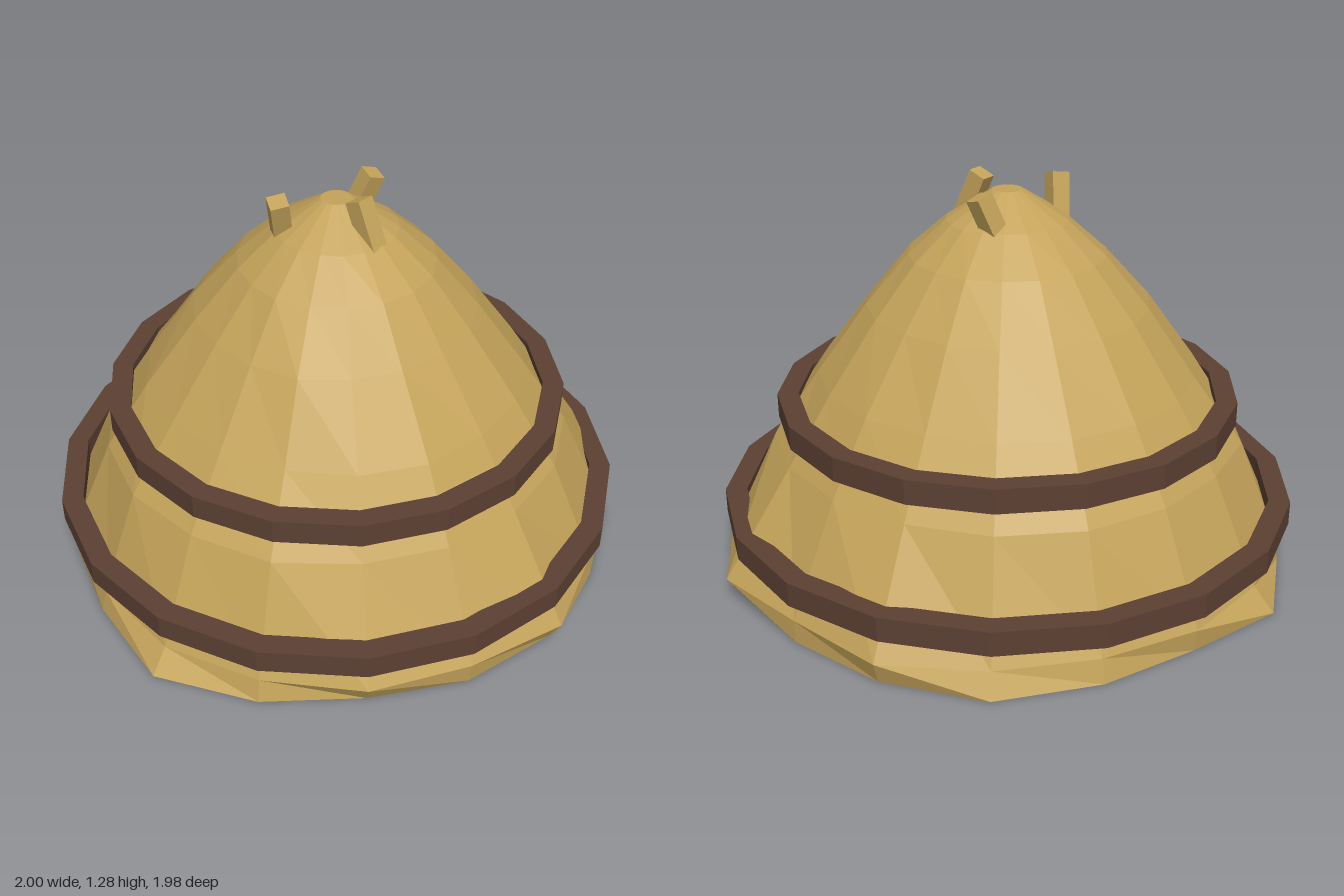
import * as THREE from 'three';

const SIDES = 18;
const CENTRE_Z = -0.01;

// Small repeatable variation in the range -1 to 1
const wobble = (a, b) => {
  const s = Math.sin(a * 12.9898 + b * 78.233) * 43758.5453;
  return 2 * (s - Math.floor(s)) - 1;
};

export function createModel() {
  const straw = new THREE.MeshStandardMaterial({ color: 0xc4a35a, flatShading: true });
  straw.name = 'straw';
  const wood = new THREE.MeshStandardMaterial({ color: 0x5c4033, flatShading: true });
  wood.name = 'dark wood';

  const model = new THREE.Group();
  model.name = 'thatchedDome';
  const add = (name, geometry, material) => {
    const mesh = new THREE.Mesh(geometry, material);
    mesh.name = name;
    model.add(mesh);
    return mesh;
  };
  // Eighteen-sided lathe with a corner on the +x axis
  const lathe = (pairs) => new THREE.LatheGeometry(
    pairs.map(([r, y]) => new THREE.Vector2(r, y)), SIDES, Math.PI / 2);

  // Thatch: closed dome with a ragged lower rim
  const profile = [[0, 0], [0.94, 0], [0.94, 0.075], [0.785, 0.42], [0.635, 0.64],
    [0.465, 0.865], [0.325, 1.03], [0.2, 1.14], [0.05, 1.235], [0, 1.235]];
  // Rim radii for each corner, going from +x towards +z
  const rimBottom = [0.96, 0.95, 0.93, 0.97, 1.015, 0.95, 0.94, 0.98, 0.94,
    1.0, 0.93, 0.95, 0.99, 0.97, 0.95, 0.96, 0.97, 0.95];
  const rimTop = [1.0, 0.96, 0.97, 0.95, 0.95, 0.93, 0.94, 0.93, 0.93,
    0.93, 0.94, 0.93, 0.95, 0.995, 0.95, 1.01, 0.95, 0.94];
  const thatch = lathe(profile);
  const pos = thatch.attributes.position;
  for (let i = 0; i < pos.count; i++) {
    const row = i % profile.length;
    const corner = (SIDES - Math.floor(i / profile.length)) % SIDES;
    let r = profile[row][0];
    if (row === 1) r = rimBottom[corner];
    else if (row === 2) r = rimTop[corner];
    else if (row > 2 && row < 8) r *= 1 + 0.015 * wobble(corner, row);
    const a = corner / SIDES * Math.PI * 2;
    pos.setX(i, r * Math.cos(a));
    pos.setZ(i, r * Math.sin(a));
  }
  add('thatch', thatch, straw).position.z = CENTRE_Z;

  // Binding hoops standing slightly clear of the thatch
  for (const [name, outer, inner, y0, y1] of [
    ['lowerHoop', 0.967, 0.895, 0.137, 0.217],
    ['upperHoop', 0.77, 0.7, 0.482, 0.562],
  ]) {
    const section = [[outer, y0], [outer, y1], [inner, y1], [inner, y0], [outer, y0]];
    add(name, lathe(section), wood).position.z = CENTRE_Z;
  }

  // Loose straw stalks poking out near the peak
  const stalks = [
    ['leftStalk', [0.2, 1.06, 0], [0.105, 1.27, 0], 0],
    ['frontStalk', [-0.105, 1.1, 0.125], [-0.075, 1.26, 0.17], Math.PI / 3],
    ['backStalk', [-0.065, 1.1, -0.155], [-0.015, 1.25, -0.195], -Math.PI / 12],
  ];
  for (const [name, from, to, yaw] of stalks) {
    const a = new THREE.Vector3(...from), b = new THREE.Vector3(...to);
    const mesh = add(name, new THREE.BoxGeometry(0.06, a.distanceTo(b), 0.06).rotateY(yaw), straw);
    mesh.position.copy(a).lerp(b, 0.5);
    mesh.quaternion.setFromUnitVectors(new THREE.Vector3(0, 1, 0), b.sub(a).normalize());
  }
  return model;
}
